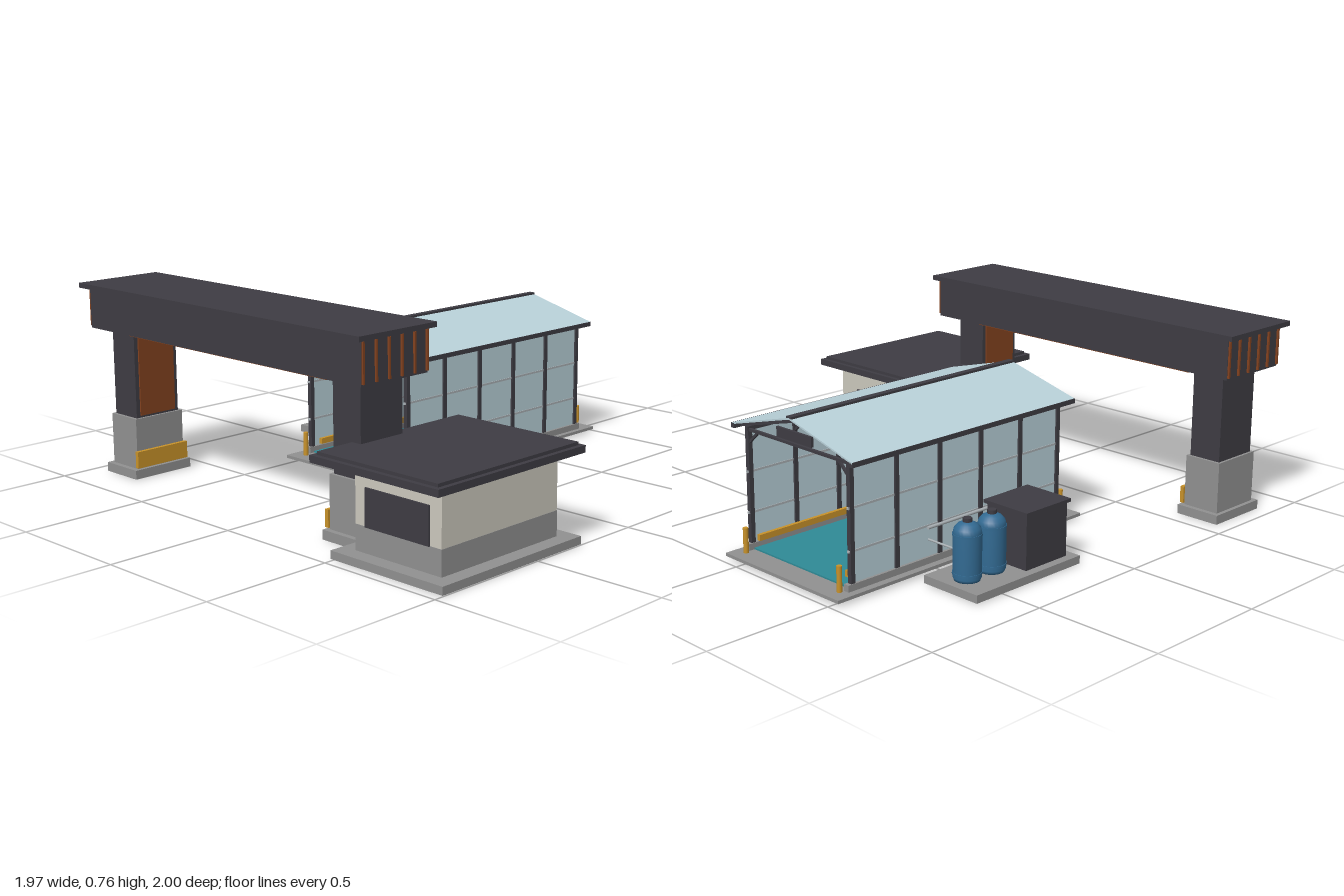
import * as THREE from 'three';

const mat = (name, color, side = THREE.FrontSide) => {
  const m = new THREE.MeshStandardMaterial({ color, side });
  m.name = name;
  return m;
};

export function createModel() {
  const root = new THREE.Group();
  root.name = 'washStation';
  const dark = mat('charcoal', 0x3e3c43);
  const concrete = mat('concrete', 0x909090);
  const cream = mat('cream', 0xcbc8bd);
  const glass = mat('paleGlass', 0xb9d1d9, THREE.DoubleSide);
  const brown = mat('rust', 0x83421f);
  const yellow = mat('safetyYellow', 0xc8922a);
  const blue = mat('tankBlue', 0x326a92);
  const teal = mat('tealFloor', 0x2f8a96);
  const steel = mat('steel', 0xa9b0b4);

  const part = (name) => {
    const g = new THREE.Group();
    g.name = name;
    root.add(g);
    return g;
  };
  const add = (g, name, geo, m, x = 0, y = 0, z = 0) => {
    const mesh = new THREE.Mesh(geo, m);
    mesh.name = name;
    mesh.position.set(x, y, z);
    g.add(mesh);
    return mesh;
  };
  // box given by its limits on each axis
  const box = (g, name, m, x0, x1, y0, y1, z0, z1) =>
    add(g, name, new THREE.BoxGeometry(x1 - x0, y1 - y0, z1 - z0), m,
      (x0 + x1) / 2, (y0 + y1) / 2, (z0 + z1) / 2);
  // square bar between two points
  const bar = (g, name, m, a, b, w) => {
    const A = new THREE.Vector3(...a), B = new THREE.Vector3(...b);
    const mesh = add(g, name, new THREE.BoxGeometry(w, w, A.distanceTo(B)), m);
    mesh.position.copy(A).add(B).multiplyScalar(0.5);
    mesh.lookAt(B);
    return mesh;
  };
  // round pipe between two points
  const pipe = (g, name, m, a, b, r) => {
    const A = new THREE.Vector3(...a), B = new THREE.Vector3(...b);
    const geo = new THREE.CylinderGeometry(r, r, A.distanceTo(B), 10).rotateX(Math.PI / 2);
    const mesh = add(g, name, geo, m);
    mesh.position.copy(A).add(B).multiplyScalar(0.5);
    mesh.lookAt(B);
  };

  // Office
  const office = part('office');
  box(office, 'plinth', concrete, -0.965, -0.27, 0.003, 0.033, 0.49, 1.0);
  box(office, 'doorStep', concrete, -0.28, -0.22, 0.006, 0.022, 0.715, 0.855);
  box(office, 'lowerWall', concrete, -0.906, -0.329, 0.033, 0.126, 0.549, 0.941);
  box(office, 'upperWall', cream, -0.905, -0.33, 0.126, 0.325, 0.55, 0.94);
  box(office, 'roofSlab', dark, -0.985, -0.255, 0.326, 0.352, 0.415, 1.0);
  box(office, 'roofCap', dark, -0.967, -0.273, 0.352, 0.364, 0.433, 0.982);
  box(office, 'door', dark, -0.332, -0.323, 0.033, 0.23, 0.737, 0.84);
  box(office, 'backWindow', dark, -0.77, -0.467, 0.125, 0.262, 0.543, 0.552);
  box(office, 'sideWindow', dark, -0.912, -0.903, 0.125, 0.262, 0.6, 0.89);

  // Bridge
  const bridge = part('bridge');
  box(bridge, 'bridgeRoof', dark, -0.89, -0.52, 0.737, 0.756, -1.0, 0.558);
  box(bridge, 'bridgeBody', dark, -0.862, -0.545, 0.58, 0.737, -0.968, 0.538);
  box(bridge, 'soffit', brown, -0.83, -0.575, 0.568, 0.58, -0.77, 0.335);
  for (const x of [-0.77, -0.64])
    box(bridge, 'soffitStrip', steel, x - 0.004, x + 0.004, 0.564, 0.57, -0.765, 0.33);
  for (const z of [-0.971, 0.541])
    for (let i = 0; i < 6; i++) {
      const x = -0.856 + i * 0.061;
      box(bridge, 'endFin', brown, x - 0.004, x + 0.004, 0.588, 0.733, z - 0.005, z + 0.005);
    }
  // piers, s points to the inner side
  for (const [zc, s] of [[0.408, -1], [-0.843, 1]]) {
    const pier = part('pier');
    const inner = (name, m, x0, x1, y0, y1, a, b) => {
      const p = zc + s * a, q = zc + s * b;
      box(pier, name, m, x0, x1, y0, y1, Math.min(p, q), Math.max(p, q));
    };
    box(pier, 'footing', concrete, -0.838, -0.572, 0, 0.036, zc - 0.093, zc + 0.093);
    box(pier, 'pierBase', concrete, -0.817, -0.593, 0.036, 0.236, zc - 0.077, zc + 0.077);
    box(pier, 'pierShaft', dark, -0.805, -0.605, 0.236, 0.58, zc - 0.067, zc + 0.067);
    inner('innerPanel', brown, -0.788, -0.622, 0.245, 0.57, 0.065, 0.073);
    inner('guardPlate', yellow, -0.825, -0.585, 0.042, 0.108, 0.077, 0.093);
  }

  // Glazed shed
  const shed = part('shed');
  const X0 = -0.147, X1 = 0.884, ZF = 0.052, ZB = -0.49, ZR = -0.22;
  box(shed, 'shedPad', concrete, -0.25, 0.98, 0.013, 0.025, -0.53, 0.085);
  box(shed, 'washFloor', teal, X0, X1, 0.025, 0.031, ZB, ZF);
  for (const [z, s] of [[ZF, 1], [ZB, -1]]) {
    box(shed, 'curb', concrete, -0.168, 0.908, 0.025, 0.05, z - 0.012, z + 0.012);
    box(shed, 'wallGlass', glass, X0, X1, 0.05, 0.476, z - 0.002, z + 0.002);
    for (const y of [0.165, 0.32])
      box(shed, 'wallRail', steel, X0 - 0.014, X1 + 0.014, y - 0.004, y + 0.004, z - 0.005, z + 0.005);
    box(shed, 'wallPlate', dark, X0 - 0.01, X1 + 0.01, 0.474, 0.489, z - 0.008, z + 0.008);
    const ze = ZR + s * 0.316;
    box(shed, 'gutter', dark, -0.185, 0.92, 0.48, 0.498, ze - 0.009, ze + 0.009);
    // sloping roof pane
    const run = 0.322, rise = 0.085;
    const pane = add(shed, 'roofGlass', new THREE.BoxGeometry(1.105, 0.006, Math.hypot(run, rise)),
      glass, 0.3675, 0.495 + rise / 2, ZR + s * run / 2);
    pane.rotation.x = s * Math.atan2(rise, run);
    // guide rail along the inside of the wall
    box(shed, 'guideRail', yellow, X0 + 0.02, X1 - 0.005, 0.062, 0.085, z - s * 0.032 - 0.007, z - s * 0.032 + 0.007);
    // bollards at both entrances
    for (const x of [-0.195, 0.925])
      add(shed, 'bollard', new THREE.CylinderGeometry(0.01, 0.01, 0.095, 12), yellow, x, 0.0725, z - s * 0.016);
  }
  box(shed, 'ridgeCap', dark, -0.185, 0.92, 0.574, 0.588, ZR - 0.013, ZR + 0.013);
  // portal frames
  for (let i = 0; i < 6; i++) {
    const x = X0 + (X1 - X0) * i / 5;
    box(shed, 'tieBeam', dark, x - 0.006, x + 0.006, 0.472, 0.482, ZB, ZF);
    for (const [z, s] of [[ZF, 1], [ZB, -1]]) {
      box(shed, 'post', dark, x - 0.009, x + 0.009, 0.03, 0.48, z - 0.009, z + 0.009);
      bar(shed, 'rafter', dark, [x, 0.487, ZR + s * 0.31], [x, 0.566, ZR], 0.012);
      bar(shed, 'brace', dark, [x, 0.425, z], [x, 0.475, z - s * 0.055], 0.009);
    }
  }
  for (const x of [X0 - 0.012, X1 + 0.012])
    box(shed, 'gableBoard', dark, x - 0.005, x + 0.005, 0.493, 0.53, ZR - 0.093, ZR + 0.093);

  // Water plant behind the shed
  const plant = part('waterPlant');
  box(plant, 'plantPad', concrete, 0.105, 0.63, 0.003, 0.033, -0.835, -0.58);
  box(plant, 'cabinet', dark, 0.143, 0.352, 0.033, 0.238, -0.802, -0.613);
  box(plant, 'cabinetLid', dark, 0.133, 0.362, 0.238, 0.25, -0.812, -0.603);
  const profile = [[0, 0.033], [0.046, 0.033], [0.051, 0.045], [0.051, 0.205], [0.047, 0.222],
    [0.035, 0.236], [0.018, 0.244], [0, 0.245]].map(([r, y]) => new THREE.Vector2(r, y));
  for (const x of [0.43, 0.55]) {
    add(plant, 'tank', new THREE.LatheGeometry(profile, 24), blue, x, 0, -0.71);
    for (const y of [0.06, 0.2])
      add(plant, 'tankBand', new THREE.CylinderGeometry(0.053, 0.053, 0.008, 24), blue, x, y, -0.71);
    add(plant, 'tankCap', new THREE.CylinderGeometry(0.017, 0.017, 0.02, 8), dark, x, 0.248, -0.71);
    pipe(plant, 'feedPipe', steel, [x, 0.127, -0.665], [x, 0.127, -0.52], 0.004);
  }
  pipe(plant, 'headerPipe', steel, [0.24, 0.195, -0.568], [0.6, 0.195, -0.568], 0.006);

  return root;
}
